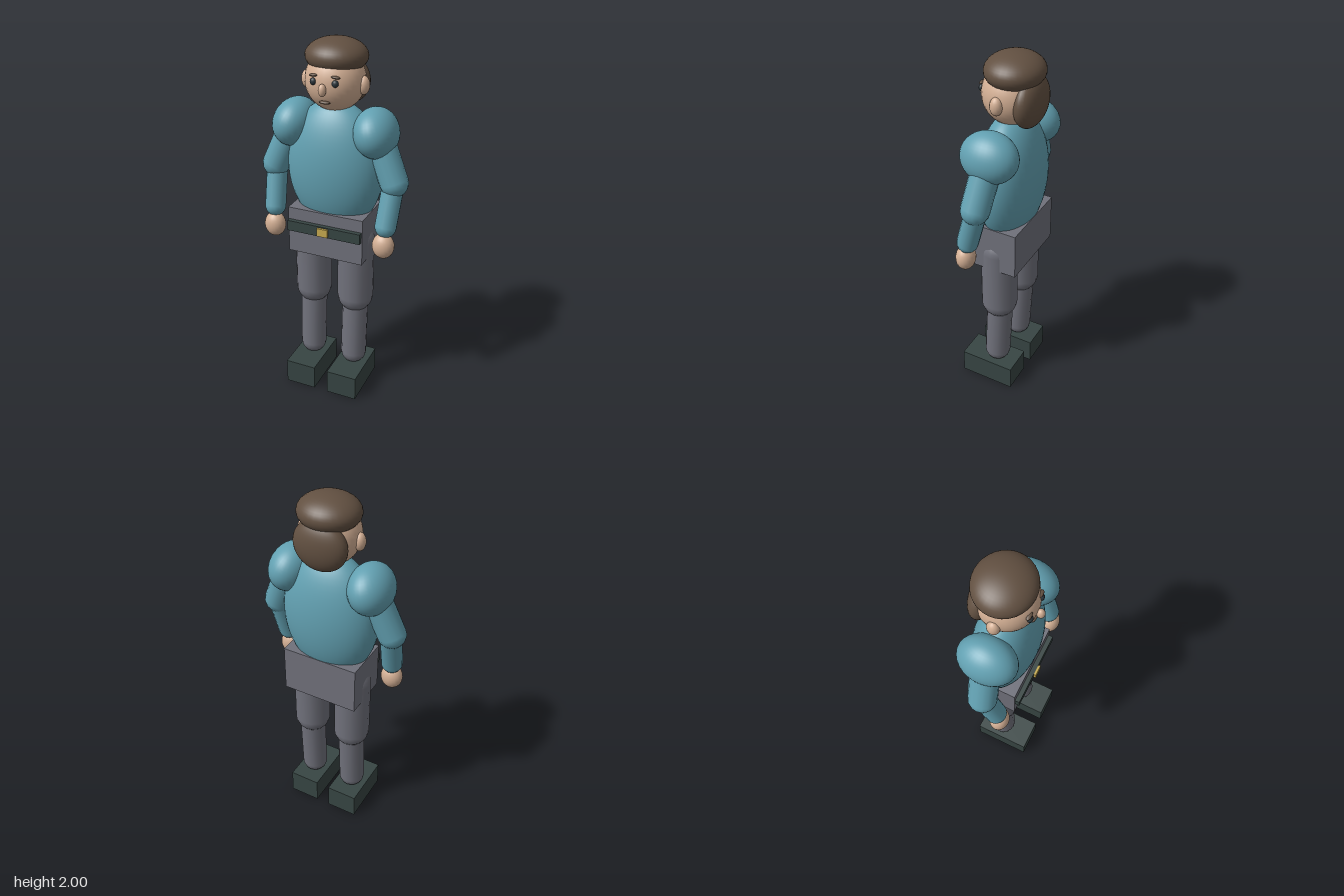
import * as THREE from 'three';

const mat = (name, color) => {
  const m = new THREE.MeshStandardMaterial({ color });
  m.name = name;
  return m;
};

export function createModel() {
  const model = new THREE.Group();
  model.name = 'standingMan';

  const shirt = mat('teal shirt', 0x62a0b1);
  const skin = mat('skin', 0xd3af94);
  const hair = mat('brown hair', 0x625041);
  const trousers = mat('grey trousers', 0x70717b);
  const leather = mat('dark leather', 0x374543);
  const brass = mat('brass', 0xc8ab50);
  const eyeDark = mat('eye', 0x2c363c);

  const add = (name, geometry, material, pos) => {
    const mesh = new THREE.Mesh(geometry, material);
    mesh.name = name;
    mesh.position.set(...pos);
    model.add(mesh);
    return mesh;
  };

  // Ellipsoid from centre and radii
  const ball = (name, material, pos, radii, seg = 32) => {
    const mesh = add(name, new THREE.SphereGeometry(1, seg, seg * 0.75), material, pos);
    mesh.scale.set(...radii);
    return mesh;
  };

  const box = (name, material, pos, size) =>
    add(name, new THREE.BoxGeometry(...size), material, pos);

  // Round-ended limb between two joint centres
  const limb = (name, material, from, to, radius) => {
    const a = new THREE.Vector3(...from), b = new THREE.Vector3(...to);
    const dir = b.clone().sub(a);
    const mid = a.clone().add(b).multiplyScalar(0.5);
    const mesh = add(name, new THREE.CapsuleGeometry(radius, dir.length(), 6, 16), material, mid.toArray());
    mesh.quaternion.setFromUnitVectors(new THREE.Vector3(0, -1, 0), dir.normalize());
    return mesh;
  };

  // Torso, hips and belt
  ball('torso', shirt, [0, 1.33, -0.02], [0.265, 0.36, 0.163], 40);
  box('hips', trousers, [0, 0.979, -0.015], [0.425, 0.26, 0.27]);
  box('belt', leather, [0, 1.012, 0.127], [0.415, 0.058, 0.036]);
  box('buckle', brass, [0, 1.012, 0.143], [0.06, 0.045, 0.028]);

  // Head and hair
  ball('head', skin, [0, 1.792, -0.02], [0.155, 0.157, 0.15]);
  ball('hairCap', hair, [0, 1.91, -0.034], [0.16, 0.09, 0.15]);
  ball('backHair', hair, [0, 1.77, -0.122], [0.145, 0.133, 0.07]);

  // Face
  ball('nose', skin, [0, 1.778, 0.142], [0.02, 0.032, 0.021], 16);
  ball('mouth', hair, [0, 1.71, 0.113], [0.031, 0.008, 0.013], 16);

  for (const [side, s] of [['left', 1], ['right', -1]]) {
    ball(side + 'Eye', eyeDark, [s * 0.058, 1.81, 0.117], [0.017, 0.018, 0.014], 16);
    const brow = ball(side + 'Brow', hair, [s * 0.058, 1.84, 0.112], [0.024, 0.007, 0.012], 16);
    brow.rotation.z = s * -0.08;
    ball(side + 'Ear', skin, [s * 0.153, 1.78, -0.015], [0.03, 0.047, 0.033], 16);

    // Arm
    const shoulder = ball(side + 'Shoulder', shirt, [s * 0.225, 1.545, -0.016], [0.112, 0.13, 0.153]);
    shoulder.rotation.z = s * 0.3;
    limb(side + 'UpperArm', shirt, [s * 0.25, 1.5, -0.015], [s * 0.335, 1.3, 0.005], 0.075);
    limb(side + 'Forearm', shirt, [s * 0.332, 1.3, 0.0], [s * 0.319, 1.075, 0.065], 0.057);
    ball(side + 'Hand', skin, [s * 0.315, 0.972, 0.082], [0.06, 0.07, 0.052], 20);

    // Leg
    limb(side + 'Thigh', trousers, [s * 0.127, 0.93, -0.01], [s * 0.127, 0.58, -0.01], 0.1);
    limb(side + 'Shin', trousers, [s * 0.127, 0.53, -0.012], [s * 0.127, 0.2, 0.004], 0.073);
    box(side + 'Shoe', leather, [s * 0.127, 0.071, 0.033], [0.175, 0.142, 0.317]);
  }

  return model;
}
